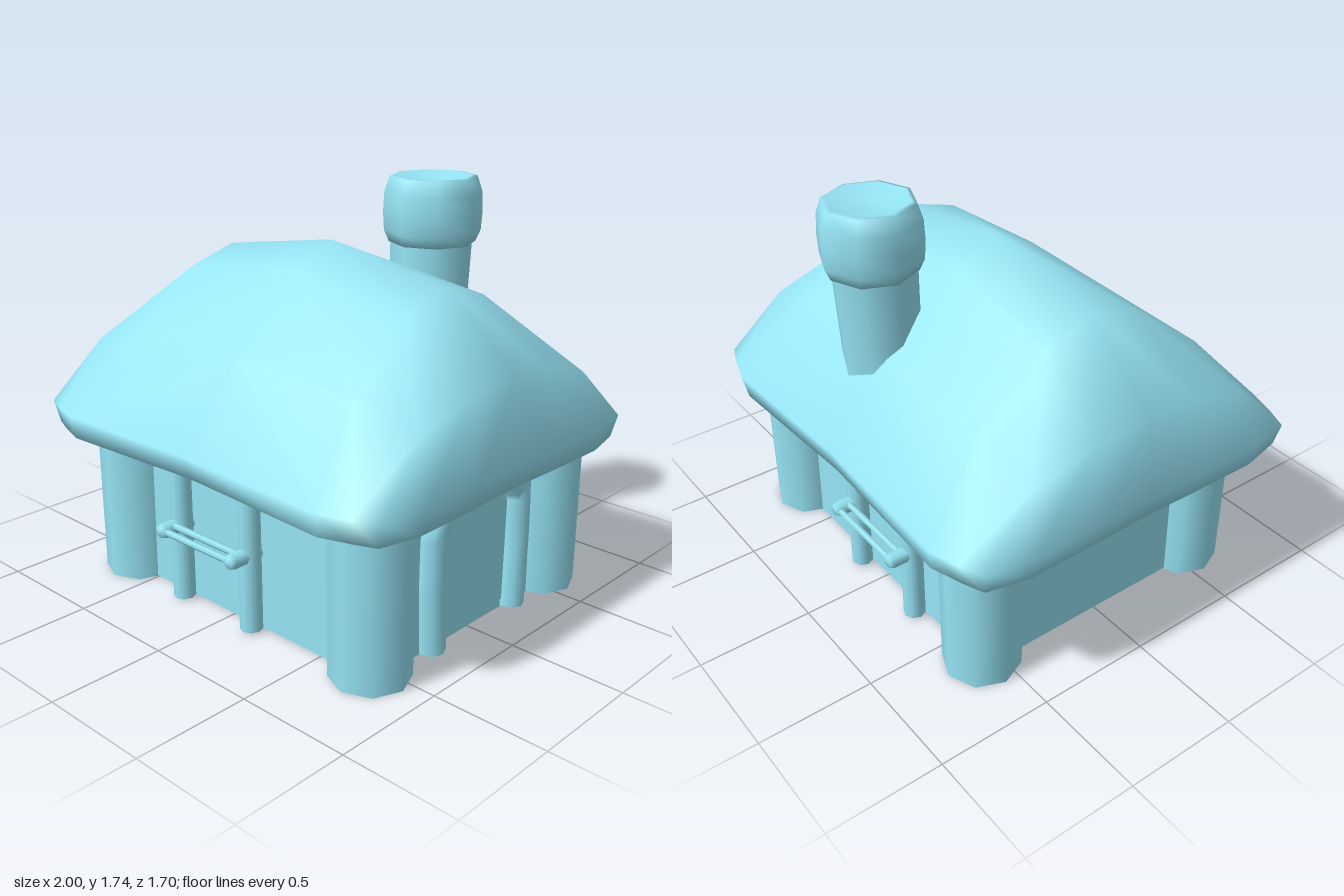
import * as THREE from 'three';

const material = new THREE.MeshStandardMaterial({ color: 0x96e4f5, side: THREE.DoubleSide });

function add(parent, name, geometry, x = 0, y = 0, z = 0) {
  const mesh = new THREE.Mesh(geometry, material);
  mesh.name = name;
  mesh.position.set(x, y, z);
  parent.add(mesh);
  return mesh;
}

function lathe(profile, sides) {
  return new THREE.LatheGeometry(profile.map(([r, y]) => new THREE.Vector2(r, y)), sides);
}

// Domed thatch: one quarter grid mirrored to all sides, then rings rolled under the eave
function roofGeometry() {
  const quarter = [
    [[0, 1.51, 0], [0, 1.41, 0.19], [0, 1.11, 0.54], [0, 0.77, 0.825]],
    [[0.615, 1.41, 0], [0.62, 1.34, 0.23], [0.63, 1.1, 0.55], [0.73, 0.77, 0.85]],
    [[0.95, 1.12, 0], [0.94, 1.09, 0.25], [0.92, 1.01, 0.53], [0.86, 0.77, 0.81]],
    [[1, 0.77, 0], [1, 0.77, 0.28], [1, 0.77, 0.58], [0.96, 0.77, 0.77]],
  ];
  const points = [], index = [];
  for (let i = -3; i <= 3; i++) {
    for (let j = -3; j <= 3; j++) {
      const [x, y, z] = quarter[Math.abs(i)][Math.abs(j)];
      points.push([x * Math.sign(i), y, z * Math.sign(j)]);
    }
  }
  const id = (i, j) => i * 7 + j;
  for (let i = 0; i < 6; i++) {
    for (let j = 0; j < 6; j++) {
      const a = id(i, j), b = id(i, j + 1), c = id(i + 1, j + 1), d = id(i + 1, j);
      // the diagonal follows the hips
      if ((i < 3) === (j < 3)) index.push(a, b, c, a, c, d);
      else index.push(a, b, d, b, c, d);
    }
  }
  // eave outline
  let ring = [];
  for (let k = 0; k < 6; k++) ring.push(id(0, k));
  for (let k = 0; k < 6; k++) ring.push(id(k, 6));
  for (let k = 6; k > 0; k--) ring.push(id(6, k));
  for (let k = 6; k > 0; k--) ring.push(id(k, 0));
  const outline = ring.map((p) => points[p]);
  // the underside sags between the middles and the corners; it ends inside the walls
  for (const [scale, y, sag] of [[0.978, 0.68, 0.01], [0.88, 0.672, 0.038], [0.71, 0.68, 0.038]]) {
    const next = outline.map(([x, , z]) => {
      const t = Math.min(Math.abs(x), Math.abs(z) * 1.17);
      return points.push([x * scale, y - sag * Math.sin(Math.PI * t / 1.3), z * scale]) - 1;
    });
    ring.forEach((a, k) => {
      const n = (k + 1) % ring.length;
      index.push(a, next[k], next[n], a, next[n], ring[n]);
    });
    ring = next;
  }
  const geometry = new THREE.BufferGeometry();
  geometry.setAttribute('position', new THREE.Float32BufferAttribute(points.flat(), 3));
  geometry.setIndex(index);
  geometry.computeVertexNormals();
  return geometry;
}

// Two upright posts with a railing held by round pegs
function windowFrame() {
  const frame = new THREE.Group();
  const pegShape = lathe([[0.034, 0], [0.034, 0.155], [0.025, 0.173], [0, 0.176]], 8);
  for (const x of [-0.27, 0.15]) {
    add(frame, 'windowPost', new THREE.CylinderGeometry(0.045, 0.048, 0.67, 8), x, 0.345, 0.633);
    const peg = add(frame, 'railPeg', pegShape, x, 0.345, 0.58);
    peg.rotation.x = Math.PI / 2;
  }
  for (const [y, z] of [[0.358, 0.69], [0.345, 0.735]]) {
    const rail = add(frame, 'rail', new THREE.CylinderGeometry(0.015, 0.015, 0.42, 6), -0.06, y, z);
    rail.rotation.z = Math.PI / 2;
  }
  return frame;
}

export function createModel() {
  const house = new THREE.Group();
  house.name = 'cottage';
  add(house, 'roof', roofGeometry());

  // Walls, open above and below
  const left = 0.775, right = -0.71, depth = 0.592, height = 0.65;
  for (const s of [1, -1]) {
    const wall = add(house, s > 0 ? 'frontWall' : 'backWall',
      new THREE.PlaneGeometry(left - right, height), (left + right) / 2, height / 2 + 0.004, s * depth);
    if (s < 0) wall.rotation.y = Math.PI;
    const side = add(house, s > 0 ? 'leftWall' : 'rightWall',
      new THREE.PlaneGeometry(depth * 2, height), s > 0 ? left : right, height / 2 + 0.004, 0);
    side.rotation.y = s * Math.PI / 2;
  }

  // Hollow corner pillars
  for (const x of [-0.655, 0.73]) {
    for (const z of [0.555, -0.562]) {
      add(house, 'cornerPillar', new THREE.CylinderGeometry(0.17, 0.165, 0.68, 8, 1, true), x, 0.34, z);
    }
  }

  // Window frames at front and back
  for (const s of [1, -1]) {
    const frame = windowFrame();
    frame.name = s > 0 ? 'frontWindow' : 'backWindow';
    frame.scale.z = s;
    house.add(frame);
  }

  // Arched door frame
  const path = new THREE.CurvePath();
  const arch = [[0.26, 0.01], [0.272, 0.3], [0.27, 0.53], [0.195, 0.65], [0, 0.71]];
  const all = [...arch, ...arch.slice(0, -1).reverse().map(([z, y]) => [-z - 0.015, y])]
    .map(([z, y]) => new THREE.Vector3(0.79, y, z));
  for (let i = 1; i < all.length; i++) path.add(new THREE.LineCurve3(all[i - 1], all[i]));
  add(house, 'doorFrame', new THREE.TubeGeometry(path, 32, 0.06, 8));

  // Door panel
  const shape = new THREE.Shape();
  [[-0.19, 0.05], [0.21, 0.05], [0.22, 0.5], [0.15, 0.62], [0, 0.66], [-0.14, 0.62], [-0.2, 0.5]]
    .forEach(([u, y], i) => (i ? shape.lineTo(u, y) : shape.moveTo(u, y)));
  const door = add(house, 'door', new THREE.ExtrudeGeometry(shape, { depth: 0.02, bevelEnabled: false }), 0.77);
  door.rotation.y = Math.PI / 2;

  // Chimney shaft, leaning slightly back
  const shaft = add(house, 'chimneyShaft', new THREE.CylinderGeometry(0.18, 0.165, 0.6, 8), 0.14, 1.19, -0.48);
  shaft.rotation.x = -0.04;

  // Chimney pot with a shallow dished top
  const pot = [[0, 1.45], [0.19, 1.45], [0.212, 1.5], [0.217, 1.58], [0.212, 1.67], [0.19, 1.735], [0.17, 1.738], [0.1, 1.715], [0, 1.71]];
  add(house, 'chimneyPot', lathe(pot, 8), 0.14, 0, -0.497);

  return house;
}
